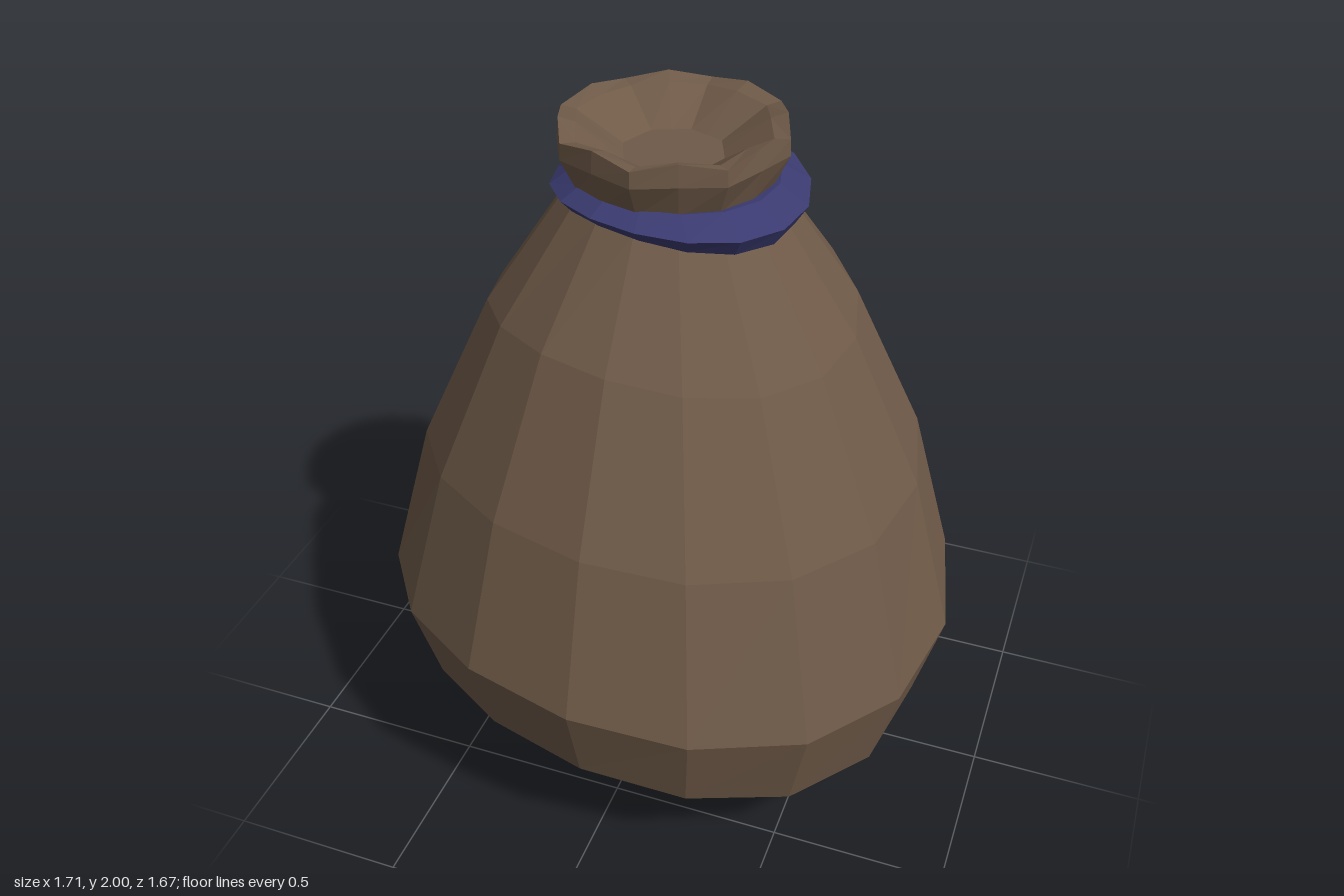
import * as THREE from 'three';

const SIDES = 16;

// Slumped wave around the sack: two high and two low spots per turn
const wave = (t) => Math.cos(2 * t - 0.75);

// Skin a stack of rings; ring(k, t, j) returns [radius, y, xOffset]; radius 0 is a pole
function skin(name, count, ring, material) {
  const pos = [];
  const point = (k, j) => {
    const t = ((j % SIDES) / SIDES) * Math.PI * 2;
    const [r, y, dx = 0] = ring(k, t, j % SIDES);
    return new THREE.Vector3(dx + r * Math.cos(t), y, r * Math.sin(t));
  };
  const tri = (a, b, c) => {
    const area = b.clone().sub(a).cross(c.clone().sub(a)).length();
    if (area > 1e-7) for (const p of [a, b, c]) pos.push(p.x, p.y, p.z);
  };
  for (let k = 0; k < count - 1; k++) {
    for (let j = 0; j < SIDES; j++) {
      const a = point(k, j), b = point(k, j + 1);
      const d = point(k + 1, j), c = point(k + 1, j + 1);
      tri(a, d, b);
      tri(b, d, c);
    }
  }
  const geo = new THREE.BufferGeometry();
  geo.setAttribute('position', new THREE.Float32BufferAttribute(pos, 3));
  geo.computeVertexNormals();
  const mesh = new THREE.Mesh(geo, material);
  mesh.name = name;
  return mesh;
}

export function createModel() {
  const group = new THREE.Group();
  group.name = 'tiedSack';
  const cloth = new THREE.MeshStandardMaterial({ color: 0x6f5a48, flatShading: true });
  const cord = new THREE.MeshStandardMaterial({ color: 0x3a3a70, flatShading: true });

  // Sack body: radius, radius wave, height, height wave
  const body = [
    [0, 0, 0.005, 0],
    [0.25, 0.003, 0.04, 0.012],
    [0.51, 0.008, 0.105, 0.05],
    [0.77, 0.012, 0.297, 0.09],
    [0.845, 0.015, 0.573, 0.073],
    [0.715, 0.015, 1.035, 0.045],
    [0.51, 0.012, 1.47, 0.04],
    [0.29, 0.005, 1.79, 0.015],
    [0.27, 0, 1.85, 0],
  ];
  group.add(skin('sackBody', body.length, (k, t) => {
    const [r, dr, y, dy] = body[k];
    return [r + dr * wave(t), y - dy * wave(t)];
  }, cloth));

  // Gathered mouth: flares out, rolls over a wavy rim, then sinks to a closed floor;
  // radius and height on even corners, then on the pleats between them
  const mouth = [
    [0.27, 1.84, 0.265, 1.84],
    [0.315, 1.935, 0.3, 1.94],
    [0.313, 1.98, 0.295, 2.0],
    [0.27, 1.975, 0.25, 1.985],
    [0.14, 1.9, 0.13, 1.9],
    [0, 1.9, 0, 1.9],
  ];
  group.add(skin('gatheredMouth', mouth.length, (k, t, j) => {
    const [r, y, rPleat, yPleat] = mouth[k];
    return j % 2 ? [rPleat, yPleat] : [r, y];
  }, cloth));

  // Cord around the neck: wedge section, a little off centre
  const band = [
    [0.27, 1.785, 0.03, 0.005],
    [0.312, 1.775, 0.028, 0.02],
    [0.343, 1.817, 0.018, 0.02],
    [0.275, 1.858, 0.004, 0.01],
    [0.24, 1.85, 0, 0.005],
  ];
  group.add(skin('neckCord', band.length, (k, t) => {
    const [r, y, dy, dx] = band[k];
    return [r + 0.008 * wave(t), y - dy * wave(t), dx];
  }, cord));

  return group;
}
